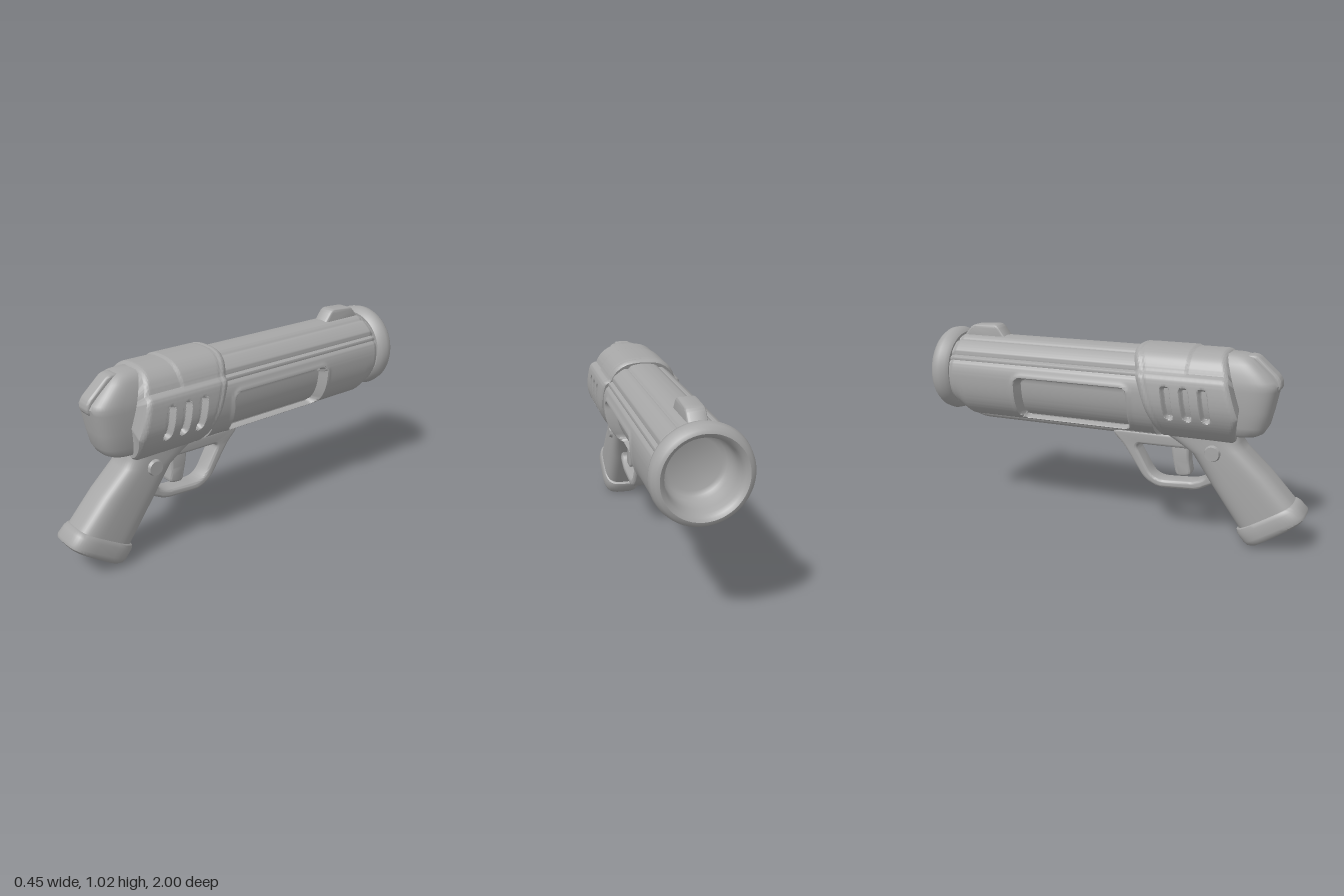
import * as THREE from 'three';
import { toCreasedNormals } from 'three/addons/utils/BufferGeometryUtils.js';

const metal = new THREE.MeshStandardMaterial({ color: 0xa6a6a6, side: THREE.DoubleSide });
metal.name = 'grey metal';

const { lerp, smoothstep, clamp } = THREE.MathUtils;
const bump = (d, w) => Math.exp(-(d * d) / (w * w));
const power = (n, e) => Math.sign(n) * Math.abs(n) ** e;

// signed distance to a rounded rectangle
function roundRect(a, b, halfA, halfB, r) {
  const p = Math.abs(a) - halfA + r, q = Math.abs(b) - halfB + r;
  return Math.hypot(Math.max(p, 0), Math.max(q, 0)) + Math.min(Math.max(p, q), 0) - r;
}

// closed rings of points, with optional end caps
function loft(nu, nv, point, capStart, capEnd) {
  const pos = [], idx = [];
  for (let i = 0; i <= nv; i++)
    for (let j = 0; j < nu; j++) pos.push(...point(j / nu, i / nv));
  for (let i = 0; i < nv; i++)
    for (let j = 0; j < nu; j++) {
      const k = (j + 1) % nu, a = i * nu + j, b = i * nu + k;
      idx.push(a, b, a + nu, b, b + nu, a + nu);
    }
  const cap = (row, centre, flip) => {
    const c = pos.length / 3;
    pos.push(...centre);
    for (let j = 0; j < nu; j++) {
      const a = row * nu + j, b = row * nu + (j + 1) % nu;
      idx.push(c, flip ? b : a, flip ? a : b);
    }
  };
  if (capStart) cap(0, capStart, true);
  if (capEnd) cap(nv, capEnd, false);
  const g = new THREE.BufferGeometry();
  g.setAttribute('position', new THREE.Float32BufferAttribute(pos, 3));
  g.setIndex(idx);
  return toCreasedNormals(g, 0.7);
}

// rounded-square sections, top to bottom: [rear z, rear y, front z, front y, half width]
function sections(rows, exponent) {
  const last = rows.length - 1, e = 2 / exponent;
  const mid = ([za, ya, zb, yb]) => [0, (ya + yb) / 2, (za + zb) / 2];
  return loft(48, last, (u, v) => {
    const [za, ya, zb, yb, w] = rows[Math.round(v * last)];
    const t = u * Math.PI * 2, k = (1 - power(Math.cos(t), e)) / 2;
    return [-w * power(Math.sin(t), e), lerp(ya, yb, k), lerp(za, zb, k)];
  }, mid(rows[0]), mid(rows[last]));
}

// polygon in (z, y) with rounded corners
function rounded(points, r, target = new THREE.Shape()) {
  const v = points.map(p => new THREE.Vector2(...p));
  v.forEach((p, i) => {
    const toward = q => {
      const d = q.clone().sub(p), l = d.length();
      return p.clone().addScaledVector(d, Math.min(r, l * 0.45) / l);
    };
    const a = toward(v[(i + v.length - 1) % v.length]), b = toward(v[(i + 1) % v.length]);
    if (i) target.lineTo(a.x, a.y); else target.moveTo(a.x, a.y);
    target.quadraticCurveTo(p.x, p.y, b.x, b.y);
  });
  target.closePath();
  return target;
}

// side profile extruded across the model
function slab(points, r, half, bevel, hole) {
  const shape = rounded(points, r);
  if (hole) shape.holes.push(rounded(hole, r, new THREE.Path()));
  const g = new THREE.ExtrudeGeometry(shape, {
    depth: 2 * (half - bevel), bevelThickness: bevel, bevelSize: bevel,
    bevelOffset: -bevel, bevelSegments: 5, curveSegments: 6,
  });
  g.translate(0, 0, bevel - half).rotateY(-Math.PI / 2);
  return toCreasedNormals(g, 0.7);
}

export function createModel() {
  const group = new THREE.Group();
  const add = (name, geometry) => {
    const m = new THREE.Mesh(geometry, metal);
    m.name = name;
    group.add(m);
    return m;
  };

  // Barrel body: round above, deeper below, with side recesses and grooves
  add('barrel', loft(160, 140, (u, v) => {
    const t = u * Math.PI * 2, s = Math.sin(t), c = Math.cos(t);
    const z = lerp(0.25, -0.93, v);
    let x, y;
    if (c >= 0) {
      const a = Math.acos(c);
      const r = 0.203 - 0.012 * bump(a - 0.98, 0.05) - 0.01 * bump(a - 0.42, 0.05) - 0.008 * bump(a - 1.15, 0.04);
      x = s * r;
      y = 0.765 + c * r;
    } else {
      const deep = lerp(0.238, 0.195, smoothstep(-z, 0.8, 0.88));
      x = power(s, 0.85) * 0.203;
      y = 0.765 + power(c, 0.85) * deep;
    }
    // neck just behind the muzzle ring
    const neck = 1 - 0.06 * smoothstep(-z, 0.872, 0.89);
    x *= neck;
    y = 0.765 + (y - 0.765) * neck;
    if (Math.abs(x) > 0.09) {
      const d = roundRect(z + 0.187, y - 0.67, 0.32, 0.124, 0.05);
      x += Math.sign(x) * (0.006 * bump(d, 0.012) - 0.05 * smoothstep(-d, 0.006, 0.024));
    }
    return [x, y, z];
  }, [0, 0.765, 0.25]));

  // Narrow rounded rail under the barrel
  add('underBarrelRail', slab(
    [[0.28, 0.6], [0.28, 0.505], [-0.8, 0.505], [-0.885, 0.55], [-0.885, 0.6]], 0.05, 0.052, 0.035));

  // Muzzle ring and hollow bore
  const muzzle = [[0.18, 0.897], [0.2, 0.895], [0.217, 0.91], [0.226, 0.945], [0.22, 0.975], [0.206, 0.994],
    [0.19, 1], [0.174, 0.99], [0.164, 0.968], [0.16, 0.93], [0.154, 0.86], [0.14, 0.84],
    [0.12, 0.83], [0, 0.83]].map(p => new THREE.Vector2(...p));
  add('muzzle', toCreasedNormals(
    new THREE.LatheGeometry(muzzle, 64).rotateX(-Math.PI / 2).translate(0, 0.768, 0), 0.75));

  // Front sight
  add('frontSight', slab(
    [[-0.615, 0.94], [-0.68, 1.026], [-0.83, 1.018], [-0.89, 0.95], [-0.89, 0.92], [-0.615, 0.92]], 0.025, 0.045, 0.014));

  // Receiver cover: stepped side plates, slanted ends, three vents on each side
  const half = [[0.09, 0.976], [0.14, 0.945], [0.168, 0.905], [0.18, 0.878], [0.203, 0.862], [0.217, 0.8],
    [0.217, 0.71], [0.192, 0.64], [0.135, 0.568], [0.09, 0.538]];
  const outline = new THREE.CatmullRomCurve3([[0, 0.987], ...half, [0, 0.533],
    ...half.map(([x, y]) => [-x, y]).reverse()].map(([x, y]) => new THREE.Vector3(x, y, 0)), true);
  const ring = outline.getSpacedPoints(200);
  add('receiverCover', loft(200, 150, (u, v) => {
    const p = ring[Math.round(u * 200)];
    const k = clamp((p.y - 0.533) / 0.452, 0, 1);
    const front = lerp(0.27, 0.13, k);
    const rear = k < 0.33 ? lerp(0.65, 0.68, k / 0.33) : lerp(0.68, 0.59, (k - 0.33) / 0.67);
    const z = lerp(rear, front, v);
    const end = Math.max(0, 1 - Math.min(v, 1 - v) / 0.06);
    let s = 1 - 0.06 * end * end - 0.012 * bump(z - front - 0.04, 0.008);
    if (p.y > 0.88) s -= 0.03 * smoothstep(z, 0.41, 0.43);
    let x = p.x * s;
    const y = 0.76 + (p.y - 0.76) * s;
    if (Math.abs(x) > 0.15) {
      for (const c of [0.335, 0.428, 0.52]) {
        const d = roundRect(z - c + (y - 0.735) * 0.15, y - 0.735, 0.026, 0.085, 0.024);
        x -= Math.sign(x) * 0.035 * smoothstep(-d, 0, 0.014);
      }
    }
    return [x, y, z];
  }, [0, 0.76, 0.65], [0, 0.76, 0.2]));

  // Rounded rear block, narrowing upwards, with a raised hammer ridge
  const block = [[0.966, 0.67, 0.05], [0.955, 0.705, 0.075], [0.925, 0.74, 0.093], [0.88, 0.79, 0.107],
    [0.845, 0.825, 0.115], [0.825, 0.837, 0.118], [0.8, 0.832, 0.12], [0.7, 0.812, 0.118],
    [0.62, 0.793, 0.111], [0.585, 0.772, 0.102], [0.57, 0.745, 0.088], [0.563, 0.7, 0.06]];
  add('rearBlock', sections(block.map(([y, z, w]) => [z, y, 0.48, y, w]), 3.2));
  add('hammerRidge', slab(
    [[0.57, 0.93], [0.63, 0.955], [0.72, 0.968], [0.84, 0.86], [0.848, 0.81], [0.81, 0.775], [0.65, 0.8]], 0.03, 0.042, 0.014));

  // Grip, butt cap and round side pins
  add('grip', sections([
    [0.66, 0.6, 0.27, 0.54, 0.1], [0.665, 0.53, 0.33, 0.51, 0.1], [0.69, 0.495, 0.42, 0.455, 0.102],
    [0.81, 0.385, 0.525, 0.3, 0.104], [0.94, 0.245, 0.68, 0.08, 0.104]], 3.6));
  add('buttCap', sections([
    [0.925, 0.25, 0.675, 0.09, 0.1], [0.945, 0.25, 0.664, 0.078, 0.109], [0.962, 0.24, 0.668, 0.06, 0.114],
    [0.997, 0.206, 0.702, 0.018, 0.115], [1, 0.19, 0.72, 0.004, 0.111], [0.987, 0.168, 0.745, 0.001, 0.095],
    [0.965, 0.15, 0.77, 0.014, 0.07]], 3.6));
  for (const side of [-1, 1]) {
    const pin = add('sidePin', toCreasedNormals(new THREE.CylinderGeometry(0.036, 0.047, 0.03, 32), 0.5));
    pin.position.set(side * 0.102, 0.475, 0.54);
    pin.rotation.z = -side * Math.PI / 2;
  }

  // Trigger guard and trigger
  add('triggerGuard', slab(
    [[0.56, 0.53], [0.56, 0.31], [0.45, 0.25], [0.24, 0.237], [0.165, 0.275], [0.05, 0.45], [-0.01, 0.505], [0, 0.53]],
    0.04, 0.05, 0.015,
    [[0.45, 0.465], [0.11, 0.46], [0.2, 0.305], [0.25, 0.28], [0.44, 0.293], [0.5, 0.33]]));
  add('trigger', slab(
    [[0.4, 0.49], [0.4, 0.4], [0.415, 0.32], [0.335, 0.31], [0.315, 0.4], [0.3, 0.49]], 0.025, 0.038, 0.012));

  return group;
}
